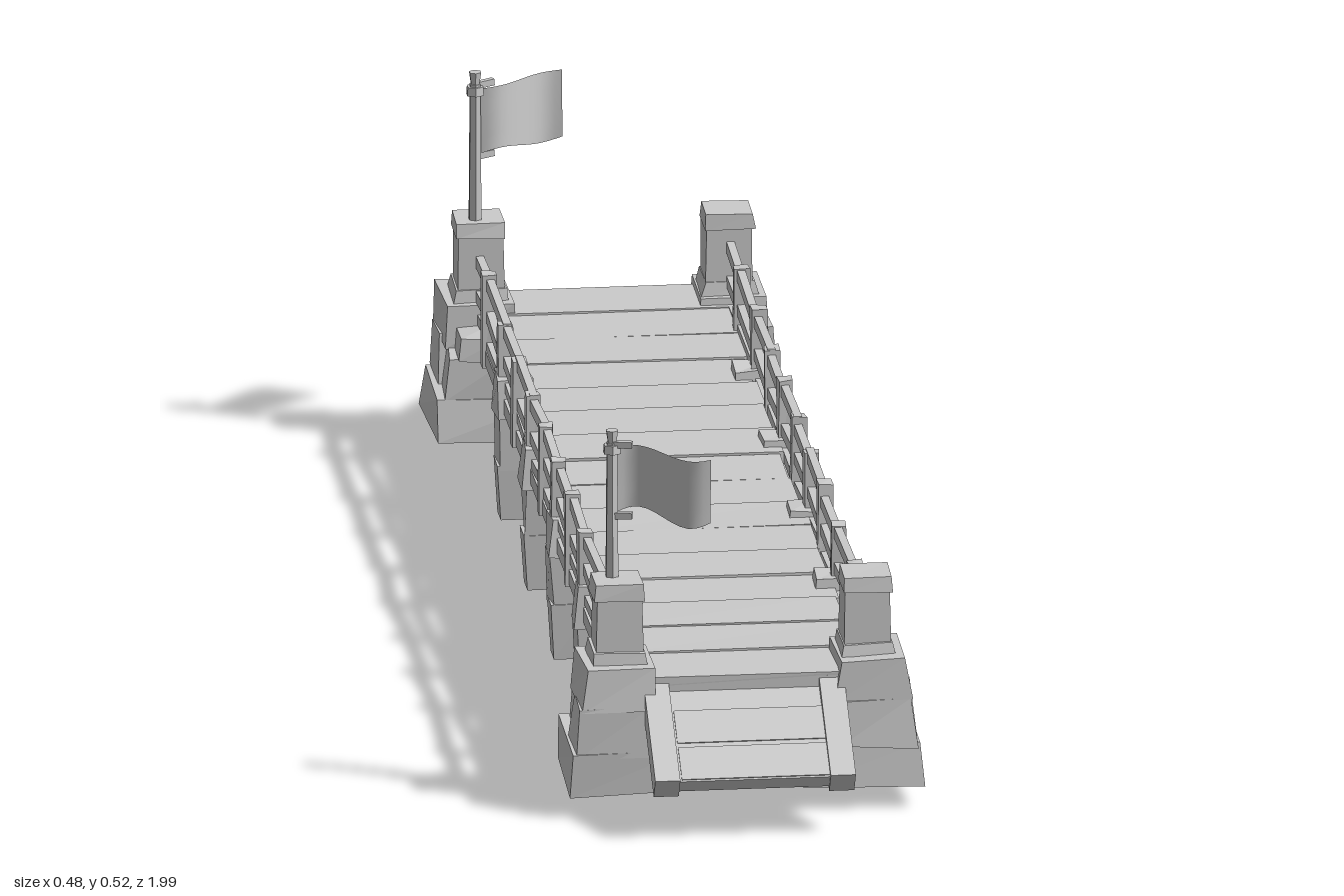
import * as THREE from 'three';

const material = new THREE.MeshStandardMaterial({ color: 0xcccccc, flatShading: true });
const clothMaterial = new THREE.MeshStandardMaterial({ color: 0xcccccc, side: THREE.DoubleSide });

// Small seeded generator for hand-hewn irregularity
let seed = 7;
const rand = () => {
  seed = (seed * 16807) % 2147483647;
  return seed / 2147483647 - 0.5;
};

// Hewn block between two corners; the top tapers and each corner is nudged
function block(parent, name, [x0, x1], [y0, y1], [z0, z1], taper = 1, rough = 0) {
  const w = Math.abs(x1 - x0), h = y1 - y0, d = Math.abs(z1 - z0);
  const geo = new THREE.BoxGeometry(w, h, d);
  const p = geo.attributes.position;
  const nudges = Array.from({ length: 8 }, () => [rand() * rough, rand() * rough, rand() * rough]);
  for (let i = 0; i < p.count; i++) {
    const x = p.getX(i), y = p.getY(i), z = p.getZ(i);
    const n = nudges[(x > 0 ? 1 : 0) + (y > 0 ? 2 : 0) + (z > 0 ? 4 : 0)];
    const s = y > 0 ? taper : 1;
    p.setXYZ(i, x * s + n[0], y + n[1], z * s + n[2]);
  }
  geo.computeVertexNormals();
  const mesh = new THREE.Mesh(geo, material);
  mesh.name = name;
  mesh.position.set((x0 + x1) / 2, (y0 + y1) / 2, (z0 + z1) / 2);
  parent.add(mesh);
  return mesh;
}

// Beam between two points
function beam(parent, name, a, b, w, h) {
  const from = new THREE.Vector3(...a), to = new THREE.Vector3(...b);
  const mesh = new THREE.Mesh(new THREE.BoxGeometry(w, h, from.distanceTo(to)), material);
  mesh.name = name;
  mesh.position.copy(from).add(to).multiplyScalar(0.5);
  mesh.lookAt(to);
  parent.add(mesh);
  return mesh;
}

function group(parent, name) {
  const g = new THREE.Group();
  g.name = name;
  parent.add(g);
  return g;
}

// Walkway: solid underside with slightly uneven planks on top
function buildDeck(parent) {
  const deck = group(parent, 'deck');
  block(deck, 'deckSlab', [-0.16, 0.16], [0.16, 0.184], [-0.86, 0.86]);
  const count = 16, step = 1.72 / count;
  for (let i = 0; i < count; i++) {
    const z = -0.86 + i * step, top = 0.191 + rand() * 0.005;
    block(deck, 'plank', [-0.163 + rand() * 0.008, 0.163 + rand() * 0.008],
      [0.176, top], [z + 0.0005, z + step - 0.0005], 1, 0.002);
  }
}

// Railing along one side, with support legs under every second post
function buildSide(parent, sx) {
  const side = group(parent, sx > 0 ? 'leftRailing' : 'rightRailing');
  const zs = [-0.665, -0.467, -0.31, -0.155, 0, 0.155, 0.31, 0.467, 0.665];
  const x = (a, b) => [sx * a, sx * b];
  block(side, 'edgeBeam', x(0.157, 0.177), [0.153, 0.174], [-0.8, 0.8]);
  zs.forEach((z, i) => {
    block(side, 'railingPost', x(0.161, 0.182), [0.15, 0.276 + rand() * 0.012], [z - 0.012, z + 0.012], 0.95, 0.003);
    if (i % 2 === 1) {
      block(side, 'legBracket', x(0.135, 0.187), [0.145, 0.2], [z - 0.03, z + 0.03], 0.85, 0.006);
      block(side, 'legUpper', x(0.132, 0.182), [0.07, 0.15], [z - 0.023, z + 0.023], 1.1, 0.006);
      block(side, 'legLower', x(0.13, 0.18), [0, 0.078], [z - 0.02, z + 0.02], 1.2, 0.001);
    }
  });
  // Rails run post to post with a slight sag and tilt
  const stops = [-0.79, ...zs, 0.79];
  for (const [y, h] of [[0.262, 0.016], [0.217, 0.016], [0.185, 0.014]]) {
    for (let i = 0; i + 1 < stops.length; i++) {
      beam(side, 'rail', [sx * 0.17, y + rand() * 0.018, stops[i] - 0.01],
        [sx * 0.17, y + rand() * 0.018, stops[i + 1] + 0.01], 0.011, h);
    }
  }
}

// Stacked stone tower with a square pillar
function buildTower(parent, sx, sz) {
  const tower = group(parent, 'stoneTower');
  const x = (a, b) => [sx * a, sx * b];
  const z = (a, b) => [sz * a, sz * b];
  block(tower, 'footStone', x(0.075, 0.238), [0.03, 0.09], z(0.7, 0.88), 0.97, 0.008);
  block(tower, 'middleStoneOuter', x(0.125, 0.229), [0.085, 0.153], z(0.785, 0.88), 0.96, 0.01);
  block(tower, 'middleStoneInner', x(0.13, 0.222), [0.085, 0.148], z(0.705, 0.79), 0.9, 0.01);
  block(tower, 'upperStone', x(0.122, 0.222), [0.148, 0.205], z(0.755, 0.876), 0.92, 0.008);
  block(tower, 'stepStone', x(0.15, 0.208), [0.145, 0.178], z(0.69, 0.765), 0.85, 0.008);
  block(tower, 'pillarFoot', x(0.13, 0.207), [0.198, 0.222], z(0.772, 0.852), 0.88, 0.004);
  block(tower, 'pillar', x(0.136, 0.2), [0.205, 0.3], z(0.778, 0.842), 0.96, 0.002);
  block(tower, 'pillarCap', x(0.135, 0.203), [0.293, 0.315], z(0.776, 0.844), 0.94, 0.003);
}

// Sloping ramp with a raised beam on either edge
function buildRamp(parent, sz) {
  const ramp = group(parent, 'ramp');
  const a = [0, 0.166, sz * 0.846], b = [0, 0.074, sz * 0.985];
  beam(ramp, 'rampBoard', a, b, 0.23, 0.02);
  for (const x of [-0.121, 0.117]) {
    beam(ramp, 'rampBeam', [x, 0.167, sz * 0.85], [x, 0.072, sz * 0.987], 0.034, 0.034);
  }
  for (const t of [0.3, 0.68]) {
    const y = a[1] + (b[1] - a[1]) * t, z = a[2] + (b[2] - a[2]) * t;
    beam(ramp, 'rampPlank', [0.002, y + 0.009, z], [0.002, y - 0.022, z + sz * 0.046], 0.206, 0.009);
  }
}

// Waving flag on a pole
function buildFlag(parent, sz) {
  const flag = group(parent, 'flag');
  const z0 = sz * 0.8;
  const cyl = (name, r0, r1, y0, y1) => {
    const m = new THREE.Mesh(new THREE.CylinderGeometry(r1, r0, y1 - y0, 6), material);
    m.name = name;
    m.position.set(-0.174, (y0 + y1) / 2, z0);
    flag.add(m);
  };
  cyl('flagPole', 0.0095, 0.008, 0.31, 0.505);
  cyl('poleCollar', 0.013, 0.012, 0.49, 0.502);
  cyl('poleFinial', 0.006, 0.009, 0.503, 0.522);
  for (const y of [0.502, 0.402]) {
    beam(flag, 'flagTie', [-0.178, y, z0], [-0.148, y + 0.002, z0 + sz * 0.012], 0.008, 0.009);
  }
  const geo = new THREE.PlaneGeometry(1, 1, 12, 4);
  const p = geo.attributes.position;
  for (let i = 0; i < p.count; i++) {
    const u = p.getX(i) + 0.5, v = p.getY(i);
    const wave = Math.sin(u * Math.PI * 2);
    p.setXYZ(i, -0.168 + 0.12 * u, 0.452 + 0.092 * v + 0.005 * wave * (1 - v),
      z0 + sz * (0.068 * u - 0.014 * wave + 0.008 * u * v));
  }
  geo.computeVertexNormals();
  const cloth = new THREE.Mesh(geo, clothMaterial);
  cloth.name = 'flagCloth';
  flag.add(cloth);
}

export function createModel() {
  const model = new THREE.Group();
  model.name = 'bridge';
  buildDeck(model);
  for (const sx of [-1, 1]) buildSide(model, sx);
  for (const sz of [-1, 1]) {
    const end = group(model, sz > 0 ? 'frontEnd' : 'backEnd');
    block(end, 'foundation', [-0.2, 0.2], [0.034, 0.082], [sz * 0.71, sz * 0.868], 0.99, 0.004);
    block(end, 'abutment', [-0.14, 0.14], [0.075, 0.162], [sz * 0.775, sz * 0.852]);
    for (const sx of [-1, 1]) buildTower(end, sx, sz);
    buildRamp(end, sz);
    buildFlag(end, sz);
  }
  return model;
}
